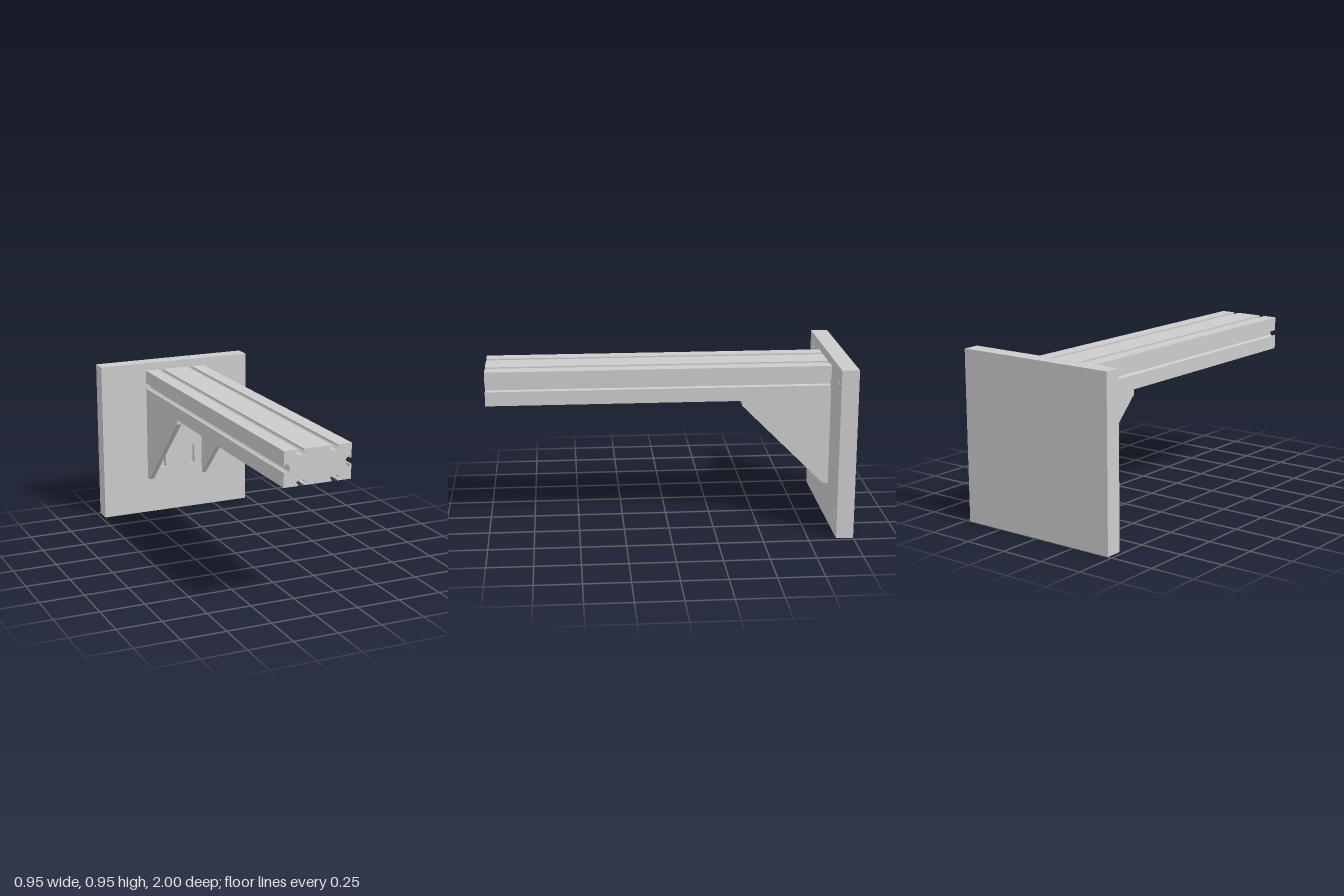
import * as THREE from 'three';

const mat = new THREE.MeshStandardMaterial({ color: 0xcccccc, flatShading: true });
const WALL = -0.905, BEAM_BOTTOM = 0.715, BEAM_TOP = 0.905;

function add(parent, name, geometry, x = 0, y = 0, z = 0) {
  const mesh = new THREE.Mesh(geometry, mat);
  mesh.name = name;
  mesh.position.set(x, y, z);
  parent.add(mesh);
  return mesh;
}

const extrude = (shape, depth) =>
  new THREE.ExtrudeGeometry(shape, { depth, bevelEnabled: false, curveSegments: 4 });

// Beam cross-section: a rectangle with T-slots, walked clockwise edge by edge
function beamShape() {
  const w = 0.19, h = (BEAM_TOP - BEAM_BOTTOM) / 2;
  // offset along the edge, depth into the beam
  const slot = [[-0.016, 0], [-0.016, 0.01], [-0.032, 0.01], [-0.014, 0.031],
    [0.014, 0.031], [0.032, 0.01], [0.016, 0.01], [0.016, 0]];
  const pts = [];
  const put = (x, y) => pts.push(new THREE.Vector2(x, y));
  put(-w, h);
  for (const c of [-0.095, 0.095]) for (const [s, d] of slot) put(c + s, h - d);
  put(w, h);
  for (const [s, d] of slot) put(w - d, -s);
  put(w, -h);
  for (const c of [0.095, -0.095]) for (const [s, d] of slot) put(c - s, -h + d);
  put(-w, -h);
  for (const [s, d] of slot) put(-w + d, s);
  return new THREE.Shape(pts);
}

// Rounded slot outline centred on x, between two heights
function slotPath(x, y0, y1) {
  const w = 0.0155, r = 0.005, p = new THREE.Path();
  p.moveTo(x - w + r, y0);
  p.lineTo(x + w - r, y0);
  p.quadraticCurveTo(x + w, y0, x + w, y0 + r);
  p.lineTo(x + w, y1 - r);
  p.quadraticCurveTo(x + w, y1, x + w - r, y1);
  p.lineTo(x - w + r, y1);
  p.quadraticCurveTo(x - w, y1, x - w, y1 - r);
  p.lineTo(x - w, y0 + r);
  p.quadraticCurveTo(x - w, y0, x - w + r, y0);
  return p;
}

// Gusset bracket: two slotted flanges closed by two triangular cheeks
function createBracket() {
  const bracket = new THREE.Group();
  bracket.name = 'bracket';
  const L = 0.494, t = 0.028, inner = 0.162;

  const flange = new THREE.Shape([
    new THREE.Vector2(-inner, -L), new THREE.Vector2(inner, -L),
    new THREE.Vector2(inner, 0), new THREE.Vector2(-inner, 0)]);
  for (const x of [-0.096, 0.096]) {
    flange.holes.push(slotPath(x, -0.175, -0.05), slotPath(x, -0.425, -0.298));
  }
  add(bracket, 'wallFlange', extrude(flange, t));
  add(bracket, 'beamFlange', extrude(flange, t).rotateX(-Math.PI / 2), 0, -t, 0);

  // Cheek profile in (distance from wall, height), turned to lie along z
  const cheek = new THREE.Shape([[0, 0], [0, -L], [t, -L], [L, -t], [L, 0]]
    .map(([d, y]) => new THREE.Vector2(d, y)));
  for (const [name, x] of [['leftCheek', inner], ['rightCheek', -inner - t]]) {
    add(bracket, name, extrude(cheek, t).rotateY(-Math.PI / 2), x + t, 0, 0);
  }
  bracket.position.set(0, BEAM_BOTTOM, WALL);
  return bracket;
}

export function createModel() {
  const model = new THREE.Group();
  model.name = 'wallBracketBeam';

  // Mounting plate
  add(model, 'mountingPlate', new THREE.BoxGeometry(0.952, 0.952, 0.095), 0, 0.476, -0.9525);

  // Flush hexagonal fasteners near the plate corners
  const hex = new THREE.CylinderGeometry(0.029, 0.029, 0.02, 6)
    .rotateY(Math.PI / 6).rotateX(Math.PI / 2);
  for (const x of [-0.382, 0.382]) {
    for (const y of [0.096, 0.858]) add(model, 'hexFastener', hex, x, y, WALL - 0.0085);
  }

  // Slotted beam
  add(model, 'beam', extrude(beamShape(), 1 - WALL), 0, (BEAM_TOP + BEAM_BOTTOM) / 2, WALL);

  model.add(createBracket());
  return model;
}
